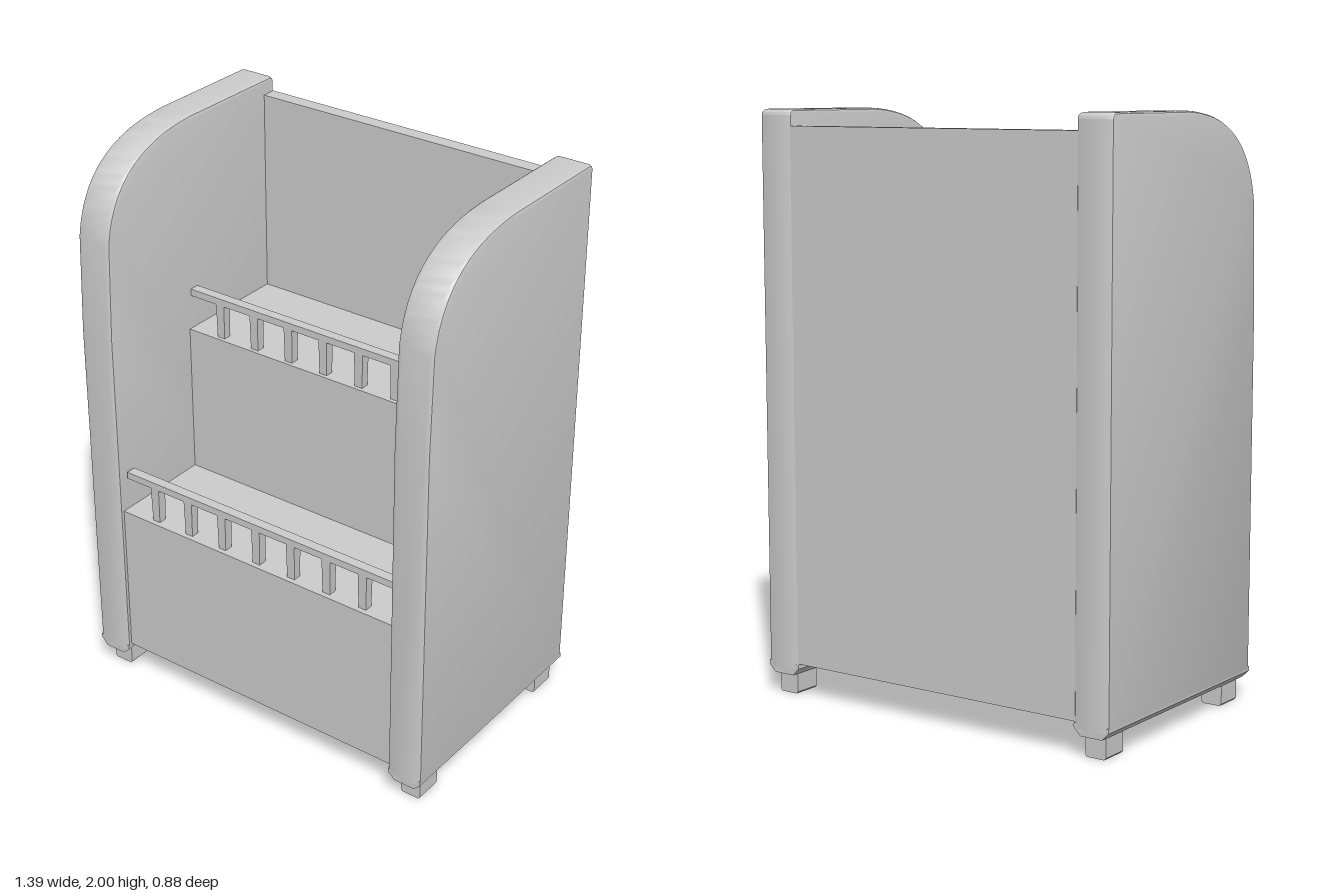
import * as THREE from 'three';
import { toCreasedNormals } from 'three/addons/utils/BufferGeometryUtils.js';

const material = new THREE.MeshStandardMaterial({ color: 0xcccccc });

function add(parent, name, geometry, x = 0, y = 0, z = 0) {
  const mesh = new THREE.Mesh(geometry, material);
  mesh.name = name;
  mesh.position.set(x, y, z);
  parent.add(mesh);
  return mesh;
}

// Extrudes a (z, y) outline across x, centred on x = 0
function extrudeAcross(shape, width, bevel = 0, bevelDepth = 0) {
  const g = new THREE.ExtrudeGeometry(shape, {
    depth: width - 2 * bevelDepth, bevelEnabled: bevel > 0, bevelSize: bevel,
    bevelThickness: bevelDepth, bevelOffset: -bevel, bevelSegments: 3, curveSegments: 24,
  });
  g.translate(0, 0, -width / 2 + bevelDepth);
  g.rotateY(-Math.PI / 2);
  return toCreasedNormals(g, 0.6);
}

const polygon = (points) => new THREE.Shape(points.map(([a, b]) => new THREE.Vector2(a, b)));

function sidePanelGeometry() {
  const s = new THREE.Shape();
  s.moveTo(-0.44, 0.098);
  s.lineTo(0.445, 0.098);
  s.lineTo(0.445, 1.35);
  s.lineTo(0.432, 1.69);
  s.bezierCurveTo(0.405, 1.86, 0.3, 1.99, 0, 2);
  s.lineTo(-0.415, 2);
  s.quadraticCurveTo(-0.44, 2, -0.44, 1.975);
  s.closePath();
  return extrudeAcross(s, 0.13, 0.01, 0.015);
}

// Chamfered strip under a side panel
function plinthGeometry() {
  const g = new THREE.ExtrudeGeometry(
    polygon([[-0.04, 0.075], [0.04, 0.075], [0.0645, 0.1], [0.0645, 0.115], [-0.0645, 0.115], [-0.0645, 0.1]]),
    { depth: 0.884, bevelEnabled: false });
  return g.translate(0, 0, -0.4395);
}

function footGeometry() {
  const g = new THREE.ExtrudeGeometry(polygon([[-0.032, 0.003], [0.032, 0.003], [0.038, 0.01], [0.038, 0.08], [-0.038, 0.08], [-0.038, 0.01]]),
    { depth: 0.1, bevelEnabled: false });
  return g.translate(0, 0, -0.05);
}

// Rail on a row of seven slightly tapered posts
function railing(name, railX, firstPost, shelfY, z) {
  const group = new THREE.Group();
  group.name = name;
  add(group, 'rail', new THREE.BoxGeometry(1.12, 0.025, 0.036), railX, shelfY + 0.142, z);
  const post = new THREE.CylinderGeometry(0.024, 0.021, 0.13, 4, 1).rotateY(Math.PI / 4);
  for (let i = 0; i < 7; i++) {
    add(group, 'post', toCreasedNormals(post, 0.5), firstPost + i * 0.1445, shelfY + 0.065, z);
  }
  return group;
}

export function createModel() {
  const model = new THREE.Group();
  model.name = 'steppedDisplayStand';

  // Stepped body with two shelves and a tall back
  add(model, 'steppedBody', extrudeAcross(polygon([
    [-0.437, 0.118], [0.43, 0.118], [0.43, 0.68], [0.047, 0.68],
    [0.047, 1.227], [-0.385, 1.227], [-0.385, 1.945], [-0.437, 1.945],
  ]), 1.14));

  model.add(railing('lowerRailing', 0.005, -0.434, 0.68, 0.397));
  model.add(railing('upperRailing', -0.005, -0.439, 1.222, 0.018));

  // Side panels with their plinths and feet
  const panel = sidePanelGeometry(), plinth = plinthGeometry(), foot = footGeometry();
  for (const [side, sx] of [['left', 1], ['right', -1]]) {
    const group = new THREE.Group();
    group.name = side + 'Side';
    group.position.x = sx * 0.631;
    add(group, 'sidePanel', panel);
    add(group, 'plinth', plinth);
    add(group, 'frontFoot', foot, 0, 0, 0.354);
    add(group, 'backFoot', foot, 0, 0, -0.363);
    model.add(group);
  }
  return model;
}
